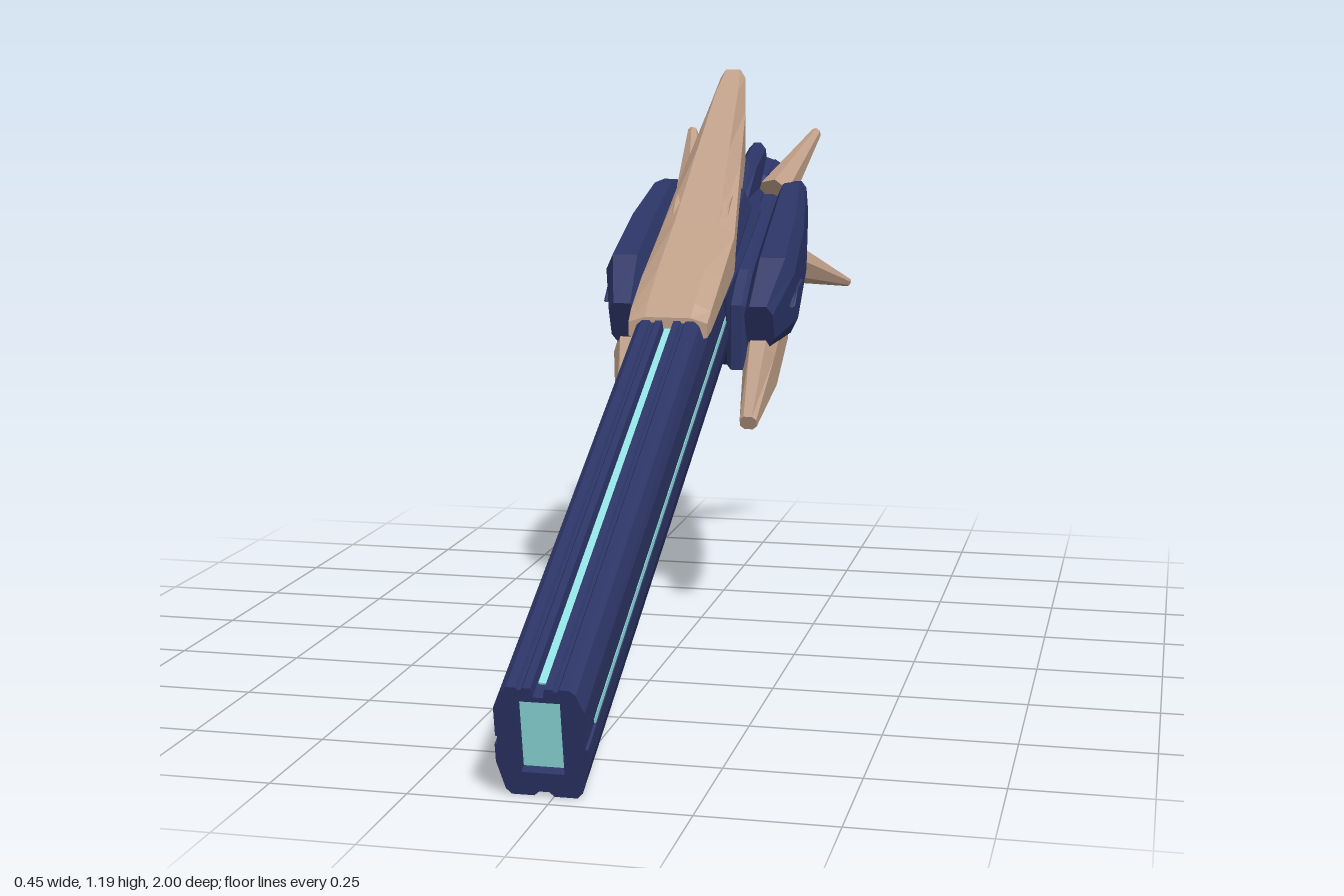
import * as THREE from 'three';

const mat = (name, color) => Object.assign(new THREE.MeshStandardMaterial({ color }), { name });
const CX = -0.017; // centre line of the barrel

// Faceted normals
function facet(geo) {
  const g = geo.index ? geo.toNonIndexed() : geo;
  g.computeVertexNormals();
  return g;
}

// Chamfered ring lofted front to back; section = [x, y, z, halfWidth, halfHeight]
function loft(sections, tilt = 0.42, cham = 0.5) {
  const unit = [[1, -cham], [1, cham], [cham, 1], [-cham, 1], [-1, cham], [-1, -cham], [-cham, -1], [cham, -1]];
  const n = unit.length, pos = [], idx = [], up = Math.sqrt(1 - tilt * tilt);
  for (const [x, y, z, w, h] of sections)
    for (const [u, v] of unit) pos.push(x + u * w, y + v * h * up, z + v * h * tilt);
  for (let i = 0; i < sections.length - 1; i++)
    for (let j = 0; j < n; j++) {
      const a = i * n + j, b = i * n + (j + 1) % n;
      idx.push(a, a + n, b, b, a + n, b + n);
    }
  const last = (sections.length - 1) * n;
  for (let j = 1; j < n - 1; j++) idx.push(0, j, j + 1, last, last + j + 1, last + j);
  const g = new THREE.BufferGeometry();
  g.setAttribute('position', new THREE.Float32BufferAttribute(pos, 3));
  g.setIndex(idx);
  return facet(g);
}

// Side outline [z, y] extruded across x about centre x
function plate(outline, x, width, bevel = 0.008) {
  const g = new THREE.ExtrudeGeometry(new THREE.Shape(outline.map(p => new THREE.Vector2(...p))), {
    depth: width - 2 * bevel, bevelEnabled: true, bevelSize: bevel, bevelThickness: bevel,
    bevelOffset: -bevel, bevelSegments: 1 });
  g.rotateY(-Math.PI / 2).translate(x + width / 2 - bevel, 0, 0);
  return facet(g);
}

// Barrel space (x, v = -1..1 height, t = 0 rear..1 muzzle) to model space
function onBarrel(geo) {
  const p = geo.attributes.position;
  for (let i = 0; i < p.count; i++) {
    const t = p.getZ(i), v = p.getY(i) * (1 + 0.18 * (1 - t));
    p.setXYZ(i, CX + p.getX(i), 0.818 - 0.718 * t + 0.1 * v, -0.5 + 1.48 * t + 0.02 * v);
  }
  return facet(geo);
}

const strip = (x, v, w, h, t0, t1) =>
  onBarrel(new THREE.BoxGeometry(w, h, t1 - t0).translate(x, v, (t0 + t1) / 2));

// Tapered blunt spike between two points
function spike(a, b, r, tip) {
  const A = new THREE.Vector3(...a), B = new THREE.Vector3(...b), d = B.clone().sub(A);
  const g = new THREE.CylinderGeometry(tip, r, d.length(), 7, 1).scale(0.8, 1, 1);
  g.applyQuaternion(new THREE.Quaternion().setFromUnitVectors(new THREE.Vector3(0, 1, 0), d.normalize()));
  return facet(g.translate(...A.add(B).multiplyScalar(0.5).toArray()));
}

export function createModel() {
  const root = new THREE.Group();
  root.name = 'cannon';
  const navy = mat('navy armour', 0x2b3465), tan = mat('tan horn', 0xbf9f88), teal = mat('teal glow', 0x90e0e0);
  const add = (name, geo, m, parent = root) => {
    const mesh = new THREE.Mesh(geo, m);
    mesh.name = name;
    parent.add(mesh);
    return mesh;
  };

  // Barrel with grooves and a rectangular muzzle
  const half = [[0.009, -0.92], [0.018, -1], [0.058, -1], [0.068, -0.9], [0.082, -0.4], [0.082, -0.08],
    [0.077, -0.07], [0.077, 0.07], [0.08, 0.08], [0.08, 0.6], [0.066, 0.92], [0.055, 1], [0.038, 1], [0.035, 0.96],
    [0.029, 0.96], [0.026, 1], [0.012, 1], [0.009, 0.84]];
  const mirrored = half.map(([x, y]) => [-x, y]).reverse();
  const section = new THREE.Shape([...half, ...mirrored].map(p => new THREE.Vector2(...p)));
  section.holes.push(new THREE.Path([[-0.038, -0.57], [-0.038, 0.75], [0.038, 0.75], [0.038, -0.57]]
    .map(p => new THREE.Vector2(...p))));
  add('barrel', onBarrel(new THREE.ExtrudeGeometry(section, { depth: 1, bevelEnabled: false })), navy);

  // Glowing muzzle plate and strips
  add('muzzleGlow', strip(0, 0.09, 0.078, 1.34, 0.985, 0.99), teal);
  add('topStrip', strip(0, 0.84, 0.014, 0.06, 0.3, 0.98), teal);
  add('bottomStrip', strip(0, -0.91, 0.008, 0.05, 0.3, 0.97), teal);
  for (const s of [-1, 1]) add('sideStrip', strip(s * 0.076, 0, 0.009, 0.13, 0.15, 0.96), teal);

  // Housing behind the barrel
  add('housing', loft([[CX, 0.67, -0.2, 0.083, 0.11], [CX, 0.725, -0.35, 0.09, 0.13],
    [CX, 0.815, -0.54, 0.095, 0.13], [CX, 0.87, -0.68, 0.08, 0.09]]), navy);
  add('undersideBlock', plate([[-0.38, 0.62], [-0.47, 0.54], [-0.5, 0.528], [-0.63, 0.59], [-0.64, 0.66],
    [-0.5, 0.72]], CX, 0.11, 0.012), navy);

  // Swept crest, flush with the barrel top and rising to a high horn
  const crest = [[0.01, 0.7, 0.65, 0.083], [-0.02, 0.727, 0.655, 0.085], [-0.12, 0.788, 0.69, 0.086],
    [-0.27, 0.87, 0.735, 0.084], [-0.45, 1.02, 0.86, 0.062], [-0.6, 1.14, 0.94, 0.044], [-0.675, 1.19, 1.1, 0.029]];
  add('crest', loft(crest.map(([z, top, bot, w]) => [CX, (top + bot) / 2, z, w, (top - bot) / 2]), 0, 0.58), tan);

  // Mirrored armour
  for (const s of [-1, 1]) {
    const side = new THREE.Group();
    side.name = s > 0 ? 'leftSide' : 'rightSide';
    root.add(side);
    const X = x => CX + s * x;
    add('crestLug', plate([[-0.27, 0.85], [-0.32, 0.91], [-0.36, 0.93], [-0.33, 0.85]], X(0.05), 0.025, 0.004), tan, side);
    add('innerPlate', plate([[-0.22, 0.56], [-0.3, 0.55], [-0.42, 0.59], [-0.6, 0.69], [-0.68, 0.78], [-0.66, 0.9],
      [-0.6, 0.91], [-0.3, 0.77], [-0.22, 0.7]], X(0.098), 0.042, 0.01), navy, side);
    add('sidePod', loft([[X(0.149), 0.655, -0.22, 0.031, 0.05], [X(0.164), 0.71, -0.33, 0.046, 0.095],
      [X(0.16), 0.795, -0.49, 0.042, 0.085], [X(0.15), 0.87, -0.63, 0.032, 0.068],
      [X(0.147), 0.895, -0.69, 0.026, 0.045]], 0.42, 0.6), navy, side);
    add('podLatch', plate([[-0.29, 0.69], [-0.33, 0.73], [-0.4, 0.74], [-0.37, 0.7]], X(0.206), 0.014, 0.004), navy, side);
    add('claw', loft([[X(0.136), 0.455, -0.165, 0.018, 0.016], [X(0.144), 0.555, -0.26, 0.034, 0.072],
      [X(0.145), 0.64, -0.395, 0.034, 0.07]]), tan, side);
    add('topFin', plate([[-0.48, 0.9], [-0.59, 0.98], [-0.72, 1.02], [-0.745, 0.985], [-0.64, 0.9]],
      X(0.05), 0.04, 0.012), navy, side);
    add('upperSpike', spike([s * 0.095 - 0.008, 0.9, -0.64], [s * 0.15, 1.037, -0.85], 0.052, 0.015), tan, side);
    add('lowerSpike', spike([X(0.085), 0.75, -0.735], s > 0 ? [0.215, 0.669, -0.96] : [-0.148, 0.655, -0.993],
      0.06, 0.01), tan, side);
  }

  // Ringed neck and hollow rear drum
  const rear = new THREE.Group();
  rear.name = 'rearDrum';
  rear.position.set(0.003, 0.84, -0.77);
  rear.quaternion.setFromUnitVectors(new THREE.Vector3(0, 1, 0), new THREE.Vector3(0, 0.36, -1).normalize());
  root.add(rear);
  const lathe = pts => facet(new THREE.LatheGeometry(pts.map(p => new THREE.Vector2(...p)), 24));
  add('neck', lathe([[0, -0.18], [0.09, -0.18], [0.106, -0.14], [0.106, -0.09], [0.085, -0.08], [0.085, -0.065],
    [0.098, -0.058], [0.098, -0.03], [0.08, -0.022], [0.08, 0.01]]), navy, rear);
  add('drum', lathe([[0.065, 0], [0.098, 0], [0.107, 0.025], [0.106, 0.125], [0.098, 0.14], [0.074, 0.14],
    [0.068, 0.112], [0.05, 0.112], [0.047, 0.12], [0, 0.12]]), navy, rear);
  for (let i = 0; i < 10; i++) {
    const a = i * Math.PI / 5;
    const rib = add('drumRib', new THREE.BoxGeometry(0.04, 0.085, 0.01), navy, rear);
    rib.position.set(Math.sin(a) * 0.105, 0.075, Math.cos(a) * 0.105);
    rib.rotation.y = a;
  }
  return root;
}
